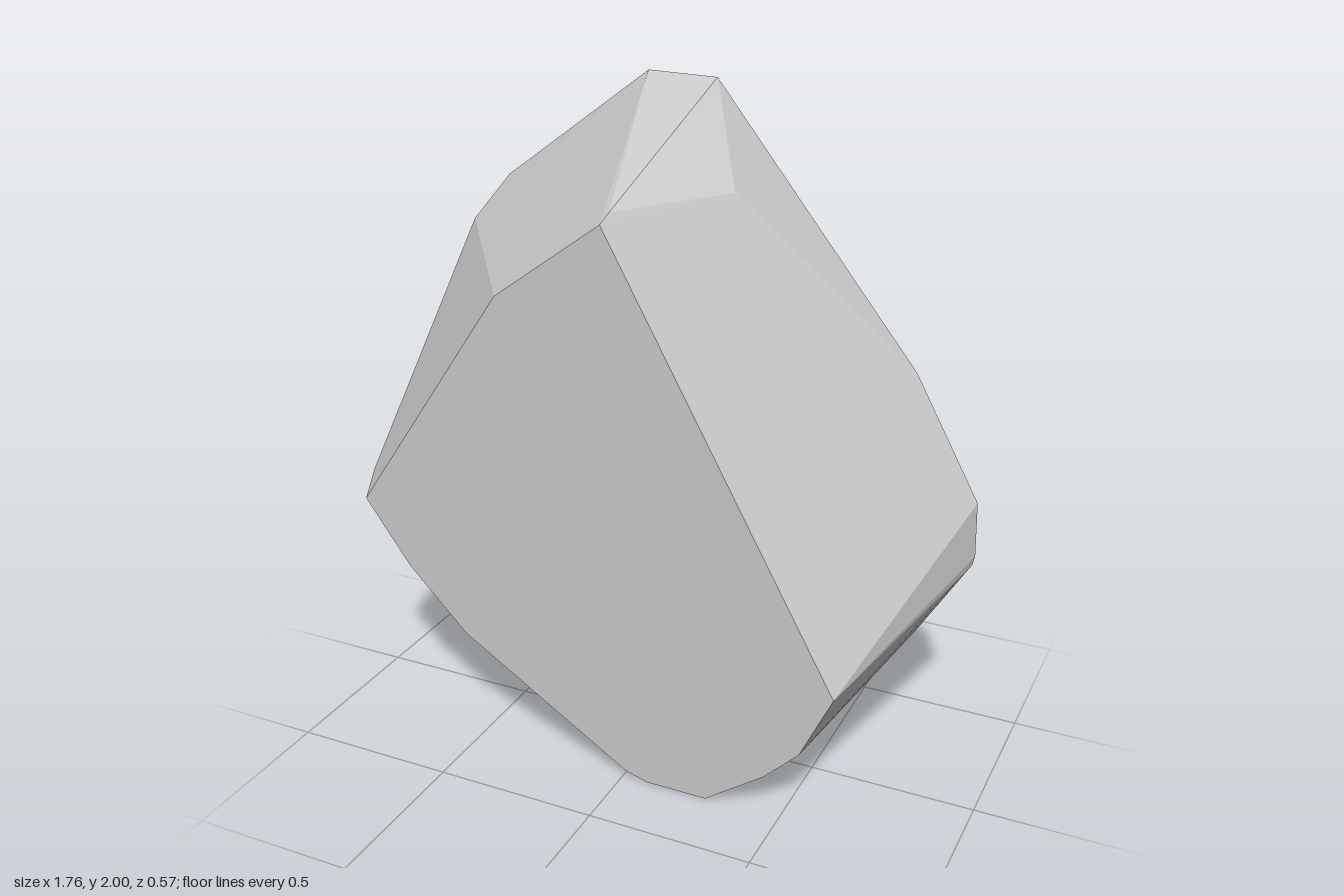
import * as THREE from 'three';
import { ConvexGeometry } from 'three/addons/geometries/ConvexGeometry.js';

const FRONT_Z = 0.283;
const BACK_Z = -0.285;

// Outline of the flat front facet (x, y)
const frontOutline = [
  [-0.865, 0.75], [-0.38, 1.46], [-0.05, 1.7], [0.65, 0.44], [0.555, 0.235], [0.45, 0.13],
  [0.27, 0], [0.08, 0], [0.01, 0.02], [-0.53, 0.36], [-0.72, 0.55],
];

// Outline of the flat back facet (x, y)
const backOutline = [
  [-0.655, 1.648], [-0.18, 2], [0.035, 1.995], [0.665, 1.21], [0.87, 0.84], [0.876, 0.67],
  [0.87, 0.64], [0.73, 0.445], [0.46, 0.17], [0.267, 0.1], [0.155, 0.1], [0.05, 0.2],
  [-0.274, 0.82],
];

// Corners on the chipped sides between the two facets (x, y, z)
const sideCorners = [
  [0.19, 1.735, -0.055], [-0.04, 1.725, 0.25], [-0.72, 1.528, -0.18],
  [-0.88, 0.815, 0.21], [0.74, 0.44, -0.17],
];

export function createModel() {
  const stone = new THREE.MeshStandardMaterial({ color: 0xc8c8c8, flatShading: true });
  stone.name = 'light grey stone';

  const corners = [
    ...frontOutline.map(([x, y]) => new THREE.Vector3(x, y, FRONT_Z)),
    ...backOutline.map(([x, y]) => new THREE.Vector3(x, y, BACK_Z)),
    ...sideCorners.map((p) => new THREE.Vector3(...p)),
  ];

  // Faceted slab of rock: the convex hull of its corners
  const rock = new THREE.Mesh(new ConvexGeometry(corners), stone);
  rock.name = 'rock';

  const group = new THREE.Group();
  group.name = 'rockSlab';
  group.add(rock);
  return group;
}
